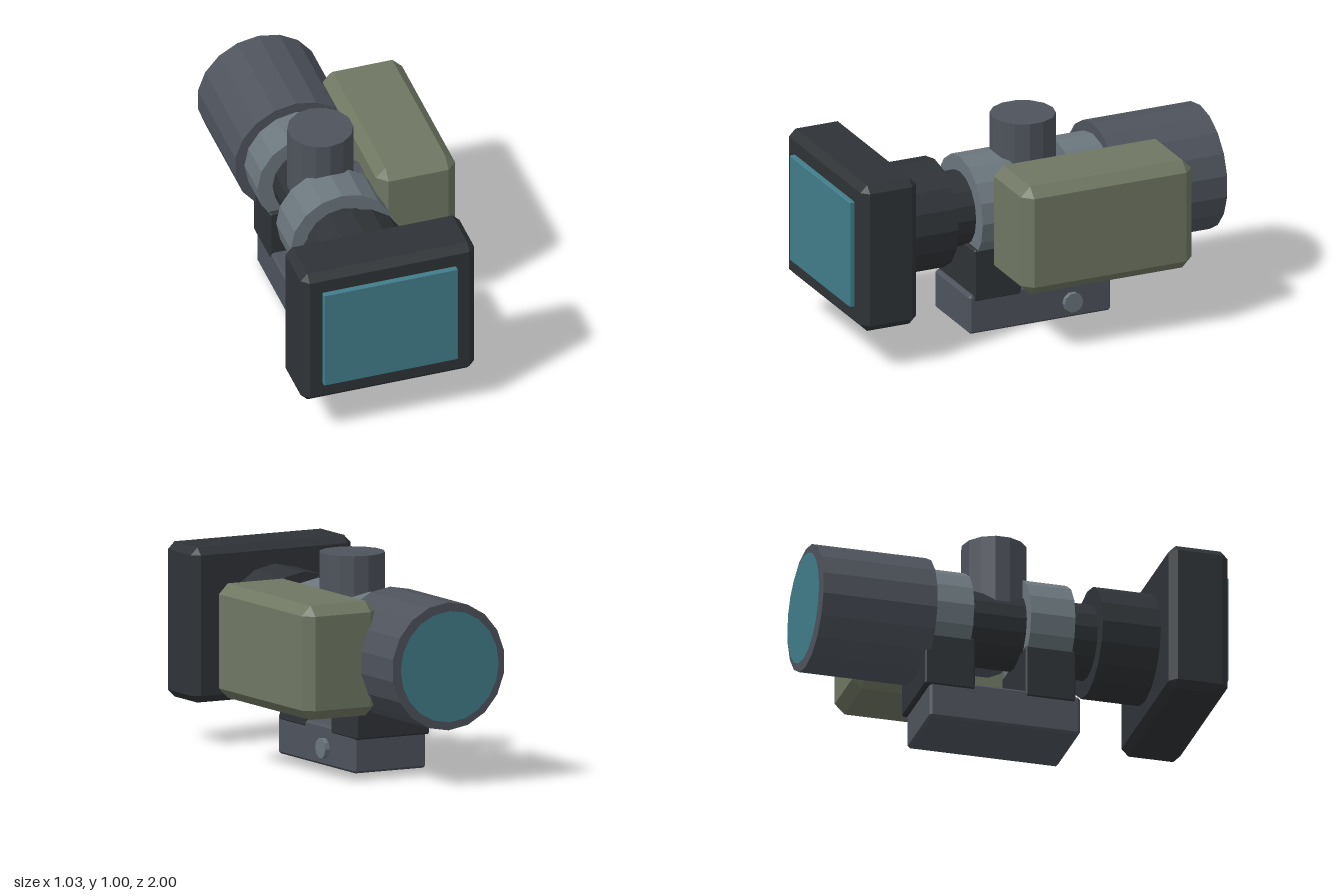
import * as THREE from 'three';
import { ConvexGeometry } from 'three/addons/geometries/ConvexGeometry.js';

const AX = -0.084, AY = 0.577; // optical axis

const mat = (color) => new THREE.MeshStandardMaterial({ color, flatShading: true });
const black = mat(0x2f3337), grey = mat(0x4e535c), steel = mat(0x6b767d);
const olive = mat(0x6f7763), glass = mat(0x417d8b);
glass.side = THREE.DoubleSide;

// Box between two corners with every edge chamfered by c
function chamferBox([x0, y0, z0], [x1, y1, z1], c) {
  const half = [(x1 - x0) / 2, (y1 - y0) / 2, (z1 - z0) / 2];
  const points = [];
  for (const sx of [-1, 1]) for (const sy of [-1, 1]) for (const sz of [-1, 1]) {
    for (let axis = 0; axis < 3; axis++) {
      const [x, y, z] = half.map((h, i) => (i === axis ? h : h - c));
      points.push(new THREE.Vector3(sx * x, sy * y, sz * z));
    }
  }
  return new ConvexGeometry(points).translate((x0 + x1) / 2, (y0 + y1) / 2, (z0 + z1) / 2);
}

// Cylinder along the optical axis from z0 to z1
function axial(radius, z0, z1, sides) {
  return new THREE.CylinderGeometry(radius, radius, z1 - z0, sides)
    .rotateX(Math.PI / 2).translate(AX, AY, (z0 + z1) / 2);
}

// Cylinder along x from x0 to x1
function sideways(radius, x0, x1, y, z, sides) {
  return new THREE.CylinderGeometry(radius, radius, x1 - x0, sides)
    .rotateZ(-Math.PI / 2).translate((x0 + x1) / 2, y, z);
}

export function createModel() {
  const model = new THREE.Group();
  const add = (name, geometry, material) => {
    const mesh = new THREE.Mesh(geometry, material);
    mesh.name = name;
    model.add(mesh);
  };

  // Display head
  add('displayHousing', chamferBox([-0.515, 0.205, 0.685], [0.35, 0.947, 0.975], 0.035), black);
  add('screen', chamferBox([-0.417, 0.31, 0.96], [0.25, 0.845, 1], 0.004), glass);

  // Sight body along the optical axis
  add('eyepieceBarrel', axial(0.267, 0.4, 0.7, 16), black);
  add('mainTube', axial(0.181, -0.44, 0.42, 16), black);
  add('objectiveBarrel', axial(0.306, -0.986, -0.425, 18), grey);
  add('objectiveLens',
    new THREE.CircleGeometry(0.266, 20).rotateY(Math.PI).translate(AX, AY, -0.998), glass);

  // Clamp rings and the blocks that carry them
  add('rearRing', axial(0.256, 0.05, 0.268, 16), steel);
  add('frontRing', axial(0.256, -0.45, -0.23, 16), steel);
  for (const [name, z] of [['rearMountBlock', 0.04], ['frontMountBlock', -0.455]]) {
    add(name, chamferBox([-0.284, 0.167, z], [0.116, 0.43, z + 0.246], 0.008), black);
  }

  // Adjustment turrets
  add('topTurret',
    new THREE.CylinderGeometry(0.157, 0.157, 0.43, 14).translate(AX, 0.788, -0.06), grey);
  add('sideTurret', sideways(0.15, AX, 0.15, AY, -0.06, 14), grey);

  // Electronics box on the side
  add('sideBox', chamferBox([0.12, 0.315, -0.682], [0.514, 0.862, 0.208], 0.048), olive);

  // Rail clamp and its screw
  add('mountBase', chamferBox([-0.278, 0.003, -0.43], [0.111, 0.198, 0.31], 0.011), grey);
  add('clampScrew', sideways(0.049, 0.148, 0.172, 0.1, -0.207, 10), steel);

  return model;
}
